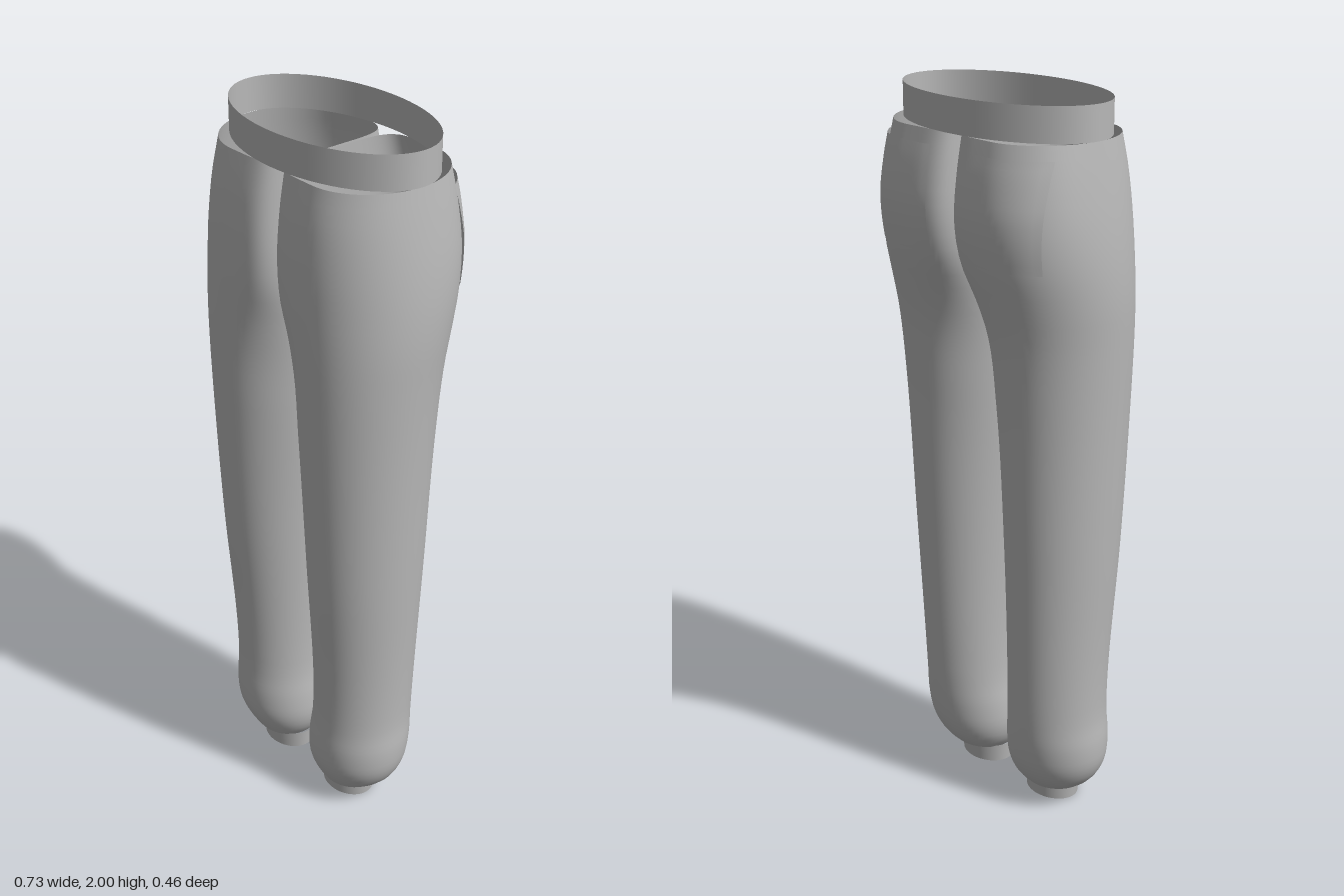
import * as THREE from 'three';

const fabric = new THREE.MeshStandardMaterial({ color: 0xb8b8b8, side: THREE.DoubleSide });
fabric.name = 'grey fabric';

// Leg sections: height, inner x, outer x, back z, front z, widest x, squareness of the inner half
const sections = [
  [0.05, 0.06, 0.245, -0.03, 0.14, 0.153, 2],
  [0.08, 0.036, 0.28, -0.058, 0.158, 0.157, 2],
  [0.13, 0.021, 0.308, -0.083, 0.178, 0.164, 2],
  [0.20, 0.024, 0.316, -0.097, 0.184, 0.17, 2],
  [0.28, 0.036, 0.31, -0.104, 0.18, 0.173, 2],
  [0.40, 0.042, 0.311, -0.11, 0.181, 0.176, 2],
  [0.80, 0.035, 0.332, -0.126, 0.205, 0.183, 2],
  [1.20, 0.014, 0.35, -0.145, 0.221, 0.182, 2],
  [1.40, 0.004, 0.36, -0.165, 0.225, 0.18, 2.2],
  [1.50, 0.002, 0.365, -0.188, 0.226, 0.174, 2.8],
  [1.60, 0.002, 0.364, -0.214, 0.226, 0.166, 4.2],
  [1.70, 0.003, 0.356, -0.224, 0.223, 0.163, 5],
  [1.82, 0.004, 0.34, -0.212, 0.211, 0.16, 5],
  [1.91, 0.005, 0.326, -0.193, 0.193, 0.155, 5],
];
const spline = new THREE.CubicInterpolant(
  sections.map((s) => s[0]), sections.flatMap((s) => s.slice(1)), 6, new Float32Array(6));
const sectionAt = (y) => Array.from(spline.evaluate(y));

// Grid of points (rows upward, columns around); side -1 mirrors it to the other leg
function gridGeometry(rows, cols, closed, side, point) {
  const positions = [], index = [];
  for (let r = 0; r <= rows; r++) {
    for (let c = 0; c < cols; c++) {
      const [x, y, z] = point(r / rows, c / (closed ? cols : cols - 1));
      positions.push(x * side, y, z);
    }
  }
  for (let r = 0; r < rows; r++) {
    for (let c = 0; c < (closed ? cols : cols - 1); c++) {
      const a = r * cols + c, b = r * cols + ((c + 1) % cols), d = a + cols, e = b + cols;
      if (side > 0) index.push(a, d, b, b, d, e);
      else index.push(a, b, d, b, e, d);
    }
  }
  const geometry = new THREE.BufferGeometry();
  geometry.setAttribute('position', new THREE.Float32BufferAttribute(positions, 3));
  geometry.setIndex(index);
  geometry.computeVertexNormals();
  return geometry;
}

// Leg surface: round outside, squarer towards the centre seam
function legPoint(v, u) {
  const y = 0.05 + 1.86 * (v < 0.25 ? v * 0.6 : 0.15 + (v - 0.25) * 0.85 / 0.75);
  const [xi, xo, zb, zf, cx, n] = sectionAt(y);
  const c = Math.cos(u * Math.PI * 2), s = Math.sin(u * Math.PI * 2);
  const power = 2 / (c < 0 ? n : 2);
  const reach = c < 0 ? cx - xi : xo - cx;
  return [
    cx + Math.sign(c) * reach * Math.abs(c) ** power,
    y,
    (zf + zb) / 2 + Math.sign(s) * ((zf - zb) / 2) * Math.abs(s) ** power,
  ];
}

// Back pocket: a patch just outside the seat that blends in at its foot
function pocketPoint(v, u) {
  const y = 1.6 + 0.275 * v, x = 0.055 + 0.245 * u;
  const [xi, xo, zb, zf, cx, n] = sectionAt(y);
  const inner = x < cx, power = inner ? n : 2;
  const t = Math.min(1, Math.abs(x - cx) / (inner ? cx - xi : xo - cx));
  const z = (zf + zb) / 2 - ((zf - zb) / 2) * (1 - t ** power) ** (1 / power);
  const lift = 0.001 + 0.006 * Math.min(1, v * 2);
  return [x + lift * u * 0.6, y, z - lift];
}

// Open elliptical band
function band(name, bottomR, topR, height, depthRatio, x, y, z) {
  const mesh = new THREE.Mesh(
    new THREE.CylinderGeometry(topR, bottomR, height, 64, 1, true), fabric);
  mesh.scale.z = depthRatio;
  mesh.position.set(x, y, z);
  mesh.name = name;
  return mesh;
}

export function createModel() {
  const model = new THREE.Group();
  model.name = 'trousers';
  const add = (name, geometry) => {
    const mesh = new THREE.Mesh(geometry, fabric);
    mesh.name = name;
    model.add(mesh);
  };

  for (const side of [1, -1]) {
    const label = side > 0 ? 'left' : 'right';
    add(label + 'Leg', gridGeometry(56, 64, true, side, legPoint));
    // Columns run along x at the back, so the winding is the mirrored one
    const pocket = gridGeometry(12, 16, false, side, (v, u) => pocketPoint(v, 1 - u));
    pocket.setIndex(Array.from(pocket.index.array).reverse());
    pocket.computeVertexNormals();
    add(label + 'BackPocket', pocket);
    model.add(band(label + 'AnkleCuff', 0.082, 0.088, 0.055, 0.78, side * 0.138, 0.0275, 0.057));
  }

  // Waistband
  model.add(band('waistband', 0.328, 0.328, 0.09, 0.594, 0, 1.955, 0));
  return model;
}
